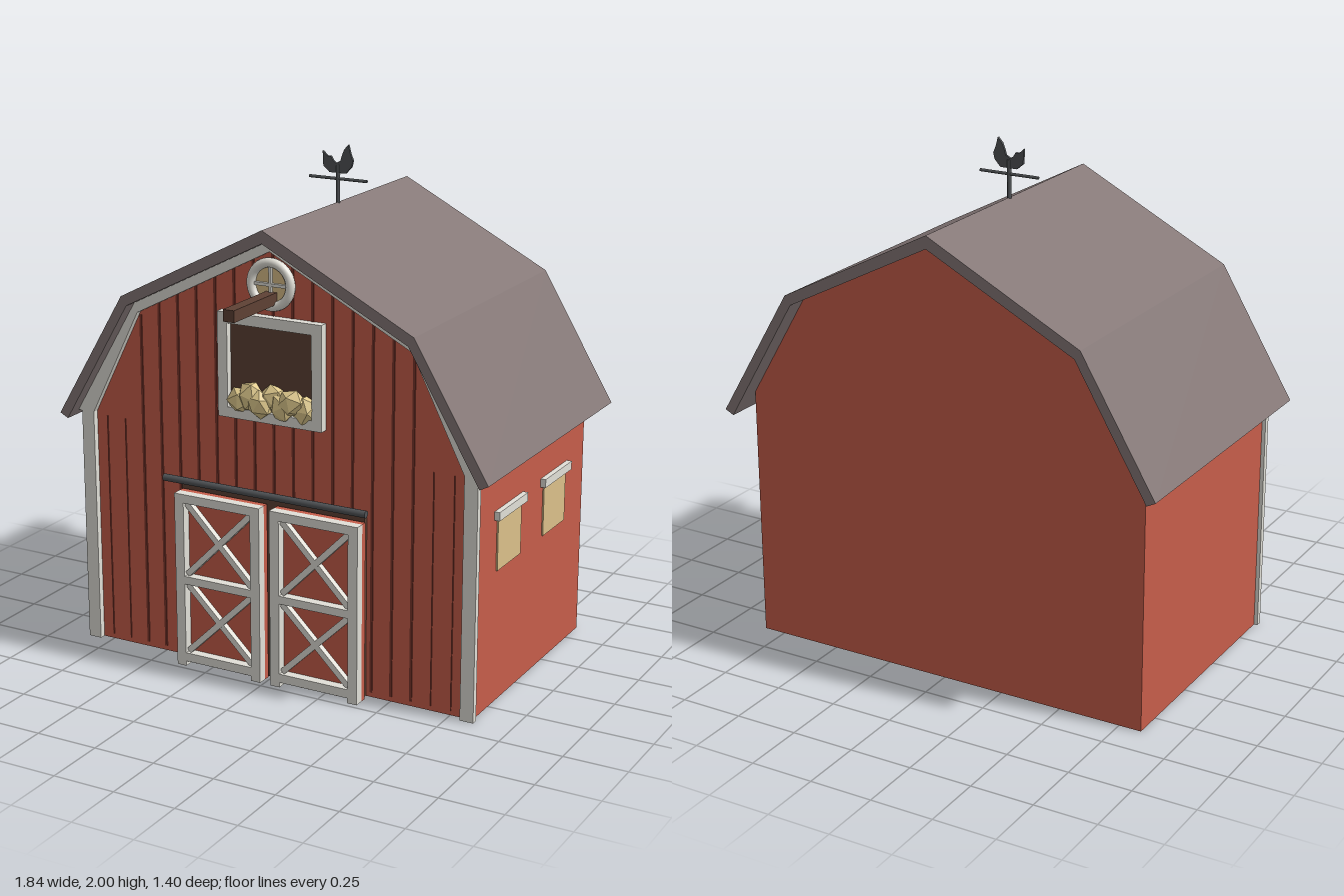
import * as THREE from 'three';

const mat = (color, extra = {}) => new THREE.MeshStandardMaterial({ color, ...extra });
const RED = mat(0xc65d4a), GROOVE = mat(0x7a352b), WHITE = mat(0xe2e0d8), ROOF = mat(0x857877);
const BROWN = mat(0x5e4134), TAN = mat(0xdcc08a), IRON = mat(0x505356);
const HAY = mat(0xe3cd8f, { flatShading: true });

const FRONT = 0.385, BACK = -0.615;

export function createModel() {
  const barn = new THREE.Group();
  barn.name = 'barn';

  const add = (name, geometry, material, x = 0, y = 0, z = 0, parent = barn) => {
    const mesh = new THREE.Mesh(geometry, material);
    mesh.name = name;
    mesh.position.set(x, y, z);
    parent.add(mesh);
    return mesh;
  };
  // Box given by its two corners
  const box = (name, material, [x0, x1], [y0, y1], [z0, z1], parent = barn) =>
    add(name, new THREE.BoxGeometry(x1 - x0, y1 - y0, z1 - z0), material,
      (x0 + x1) / 2, (y0 + y1) / 2, (z0 + z1) / 2, parent);
  const outline = (pts) => new THREE.Shape(pts.map(([x, y]) => new THREE.Vector2(x, y)));
  const extrude = (shape, depth) =>
    new THREE.ExtrudeGeometry(shape, { depth, bevelEnabled: false });
  // Mirrors a left-hand profile (ridge first) into a full arch, right eave to left eave
  const arch = (half) => [...half.slice(1).reverse().map(([x, y]) => [-x, y]), ...half];
  // Band between an outer and an inner arch
  const band = (outer, inner) => outline([...arch(outer), ...arch(inner).reverse()]);

  const roofTop = [[0, 1.775], [0.62, 1.455], [0.92, 0.95]];
  const roofUnder = [[0, 1.725], [0.597, 1.42], [0.885, 0.932]];
  const trimUnder = [[0, 1.685], [0.585, 1.383], [0.805, 0.945]];

  // Main body, gambrel roof and gable trim
  const wall = [[0, 1.725], [0.597, 1.42], [0.84, 1.008], [0.84, 0]];
  add('body', extrude(outline(arch(wall)), FRONT - BACK), RED, 0, 0, BACK);
  add('roof', extrude(band(roofTop, roofUnder), 1.165), ROOF, 0, 0, -0.7);
  add('gableTrim', extrude(band([roofUnder[0], roofUnder[1], [0.872, 0.955]], trimUnder), 0.025),
    WHITE, 0, 0, FRONT);
  for (const s of [-1, 1]) {
    const xs = s > 0 ? [0.8, 0.855] : [-0.855, -0.8];
    box('cornerTrim', WHITE, xs, [0, 0.96], [FRONT, 0.41]);
  }

  // Grooves between the wall planks
  for (let i = -9; i <= 9; i++) {
    const x = i * 0.0835, a = Math.abs(x);
    const top = a < 0.585 ? 1.69 - a * 0.516 : 0.94;
    const w = a < 0.6 ? 0.005 : 0.002;
    box('plankGroove', GROOVE, [x - w, x + w], [0.02, a > 0.58 && a < 0.6 ? 1.37 : top],
      [FRONT - 0.01, FRONT + 0.004]);
  }

  // Barn doors on a hanging rail
  box('doorway', BROWN, [-0.4, 0.395], [0, 0.735], [FRONT, 0.405]);
  add('doorRail', new THREE.CylinderGeometry(0.014, 0.014, 0.875, 12).rotateZ(Math.PI / 2),
    IRON, 0, 0.765, 0.472);
  for (const cx of [-0.2025, 0.2175]) {
    const door = new THREE.Group();
    door.name = 'door';
    door.position.x = cx;
    barn.add(door);
    const h = 0.1875, z = [0.44, 0.478];
    box('doorPanel', RED, [-h, h], [0, 0.71], [0.415, 0.44], door);
    for (const [x0, x1] of [[-h, -h + 0.04], [h - 0.04, h]])
      box('doorStile', WHITE, [x0, x1], [0, 0.71], z, door);
    for (const ys of [[0.02, 0.055], [0.343, 0.375], [0.675, 0.71]])
      box('doorCrossRail', WHITE, [-h + 0.04, h - 0.04], ys, z, door);
    // Crossed braces, one pair in each half
    for (const [y0, y1] of [[0.055, 0.343], [0.375, 0.675]]) {
      for (const s of [-1, 1]) {
        const dx = 0.295, dy = y1 - y0;
        const brace = add('doorBrace', new THREE.BoxGeometry(Math.hypot(dx, dy) - 0.015, 0.024, 0.026),
          WHITE, 0, (y0 + y1) / 2, 0.452 + s * 0.001, door);
        brace.rotation.z = s * Math.atan2(dy, dx);
      }
    }
  }

  // Hayloft opening
  box('loftOpening', BROWN, [-0.2, 0.2], [1.05, 1.42], [FRONT, 0.393]);
  const frame = outline([[-0.222, 1.03], [0.222, 1.03], [0.222, 1.438], [-0.222, 1.438]]);
  frame.holes.push(outline([[-0.18, 1.07], [-0.18, 1.396], [0.18, 1.396], [0.18, 1.07]]));
  add('loftFrame', extrude(frame, 0.035), WHITE, 0, 0, FRONT);

  // Faceted hay clumps
  for (let i = 0; i < 7; i++) {
    const clump = add('hay', new THREE.IcosahedronGeometry(0.058, 0), HAY,
      -0.13 + i * 0.0455, 1.1 + (i % 2) * 0.025, 0.405 + (i % 3) * 0.008);
    clump.scale.set(1.05, 0.95, 0.65);
    clump.rotation.set(0, 0, i * 1.3);
  }

  // Round gable window and hoist beam
  const round = new THREE.Group();
  round.name = 'roundWindow';
  round.position.set(0, 1.56, FRONT);
  barn.add(round);
  add('roundPane', new THREE.CylinderGeometry(0.08, 0.08, 0.01, 32).rotateX(Math.PI / 2),
    TAN, 0, 0, 0.007, round);
  add('roundFrame', new THREE.TorusGeometry(0.083, 0.018, 12, 40), WHITE, 0, 0, 0.015, round);
  box('roundMuntin', WHITE, [-0.07, 0.07], [-0.006, 0.006], [0.005, 0.024], round);
  box('roundMuntin', WHITE, [-0.006, 0.006], [-0.07, 0.07], [0.005, 0.023], round);
  box('hoistBeam', BROWN, [-0.023, 0.023], [1.487, 1.532], [0.38, 0.7]);

  // Windows with awning caps, left wall only
  for (const z of [0.1, -0.322]) {
    box('sideWindow', TAN, [0.83, 0.846], [0.53, 0.75], [z - 0.105, z + 0.105]);
    box('windowCap', WHITE, [0.83, 0.861], [0.735, 0.769], [z - 0.128, z + 0.128]);
  }

  // Weathervane
  const vane = new THREE.Group();
  vane.name = 'weathervane';
  vane.position.z = -0.115;
  barn.add(vane);
  add('vanePole', new THREE.CylinderGeometry(0.008, 0.008, 0.18, 10), IRON, 0, 1.83, 0, vane);
  add('vaneBar', new THREE.CylinderGeometry(0.006, 0.006, 0.25, 8).rotateZ(Math.PI / 2),
    IRON, 0, 1.865, 0, vane);
  const bird = outline([[-0.065, 1.968], [-0.062, 1.91], [-0.035, 1.888], [0.035, 1.888],
    [0.06, 1.915], [0.066, 1.94], [0.055, 1.965], [0.046, 2], [0.028, 1.98], [0.018, 1.955],
    [0.012, 1.935], [-0.008, 1.925], [-0.02, 1.935], [-0.03, 1.95], [-0.045, 1.95]]);
  add('vaneBird', extrude(bird, 0.01), IRON, 0, 0, -0.005, vane);

  return barn;
}
